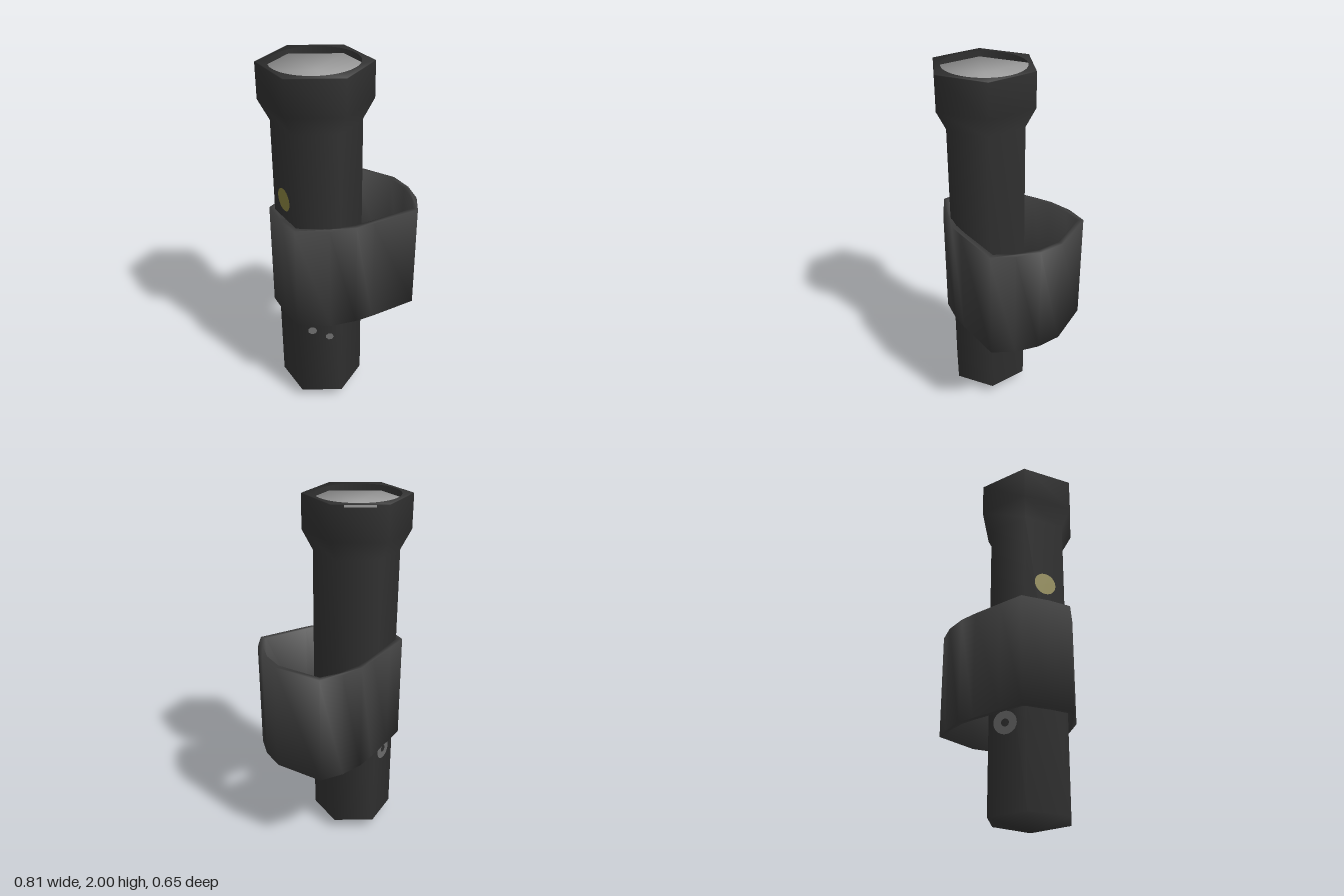
import * as THREE from 'three';
import { toCreasedNormals } from 'three/addons/utils/BufferGeometryUtils.js';

const material = (name, color, side = THREE.FrontSide) => {
  const m = new THREE.MeshStandardMaterial({ color, side });
  m.name = name;
  return m;
};

const hexPoints = (r) => Array.from({ length: 6 }, (_, i) =>
  new THREE.Vector2(r * Math.sin(i * Math.PI / 3), r * Math.cos(i * Math.PI / 3)));

// Leans the normals of a flat disc outwards so it shades as gently domed
function domeNormals(geometry, lean) {
  const pos = geometry.attributes.position, n = new THREE.Vector3();
  for (let i = 0; i < pos.count; i++) {
    n.set(pos.getX(i) * lean, pos.getY(i) * lean, 1).normalize();
    geometry.attributes.normal.setXYZ(i, n.x, n.y, n.z);
  }
  return geometry;
}

// Moves a closed counter-clockwise outline inwards by d with mitred corners
function inset(points, d) {
  const n = points.length;
  return points.map((p, i) => {
    const a = p.clone().sub(points[(i + n - 1) % n]).normalize();
    const b = points[(i + 1) % n].clone().sub(p).normalize();
    const na = new THREE.Vector2(-a.y, a.x), nb = new THREE.Vector2(-b.y, b.x);
    const miter = na.clone().add(nb).normalize();
    return p.clone().addScaledVector(miter, d / miter.dot(na));
  });
}

export function createModel() {
  const bodyMat = material('darkCasing', 0x323232);
  const strapMat = material('holsterGrey', 0x3e3e3e, THREE.DoubleSide);
  const lensMat = material('lensGrey', 0xa0a0a0);
  const buttonMat = material('olive', 0x8a8240);
  const markMat = material('wornGrey', 0x747474);
  const ringMat = material('ringGrey', 0x6a6a6a);

  const model = new THREE.Group();
  const torch = new THREE.Group();
  torch.name = 'torch';
  torch.position.set(-0.145, 0, 0.031);
  torch.rotation.z = 0.005;
  model.add(torch);

  const add = (parent, name, geometry, mat) => {
    const mesh = new THREE.Mesh(geometry, mat);
    mesh.name = name;
    parent.add(mesh);
    return mesh;
  };
  const lathe = (profile) =>
    new THREE.LatheGeometry(profile.map(([r, y]) => new THREE.Vector2(r, y)), 6);

  // Six-sided casing with pointed foot and flared head
  add(torch, 'casing', lathe([[0, 0], [0.233, 0.056], [0.233, 1.7], [0.291, 1.81],
    [0.291, 1.997], [0.288, 2]]), bodyMat);

  // Flat rim with a round opening
  const rimShape = new THREE.Shape(hexPoints(0.288).reverse());
  const opening = new THREE.Path();
  opening.absellipse(0, 0.005, 0.229, 0.22, 0, Math.PI * 2);
  rimShape.holes.push(opening);
  const rim = add(torch, 'headRim', domeNormals(new THREE.ShapeGeometry(rimShape, 32), 3), bodyMat);
  rim.rotation.x = -Math.PI / 2;
  rim.position.y = 2;

  // Recess wall and lens set just below the rim
  add(torch, 'recessWall', lathe([[0.287, 1.999], [0.287, 1.955]]), bodyMat);
  const lens = add(torch, 'lens', domeNormals(new THREE.CircleGeometry(0.287, 6, Math.PI / 2), 3), lensMat);
  lens.rotation.x = -Math.PI / 2;
  lens.position.y = 1.955;

  // Flat details laid on a side; angle is the side's heading from +z
  const onSide = (name, geometry, mat, angle, across, y, out = 0.2045) => {
    const holder = new THREE.Group();
    holder.name = name + 'Mount';
    holder.rotation.y = angle;
    torch.add(holder);
    const mesh = add(holder, name, geometry, mat);
    mesh.position.set(across, y, out);
    return mesh;
  };
  onSide('button', new THREE.CircleGeometry(0.063, 24), buttonMat, -Math.PI / 2, 0, 1.3);
  const ring = onSide('ringMark', new THREE.RingGeometry(0.025, 0.074, 24), ringMat,
    -Math.PI * 5 / 6, -0.012, 0.515);
  ring.scale.y = 0.82;
  ring.rotation.z = -0.4;
  for (const [across, y, r] of [[-0.046, 0.51, 0.026], [0.05, 0.467, 0.023], [0.05, 0.565, 0.02]]) {
    onSide('wornSpot', new THREE.CircleGeometry(r, 7), markMat, -Math.PI / 6, across, y);
  }
  // Worn strip under the head's back edge
  onSide('rimMark', new THREE.PlaneGeometry(0.16, 0.012), lensMat, Math.PI * 5 / 6, 0, 1.99, 0.2535);

  // Holster: a closed upright band, outline given as x, z
  const outline = [
    [-0.08, 0.307], [0.02, 0.315], [0.297, 0.32], [0.37, 0.21], [0.408, 0.08], [0.408, -0.06],
    [0.283, -0.312], [0.15, -0.325], [0.02, -0.303], [-0.08, -0.262], [-0.24, -0.185],
    [-0.37, -0.12], [-0.382, 0.04], [-0.375, 0.17], [-0.22, 0.272],
  ].map(([x, z]) => new THREE.Vector2(x, -z));
  const bandShape = new THREE.Shape(outline);
  bandShape.holes.push(new THREE.Path(inset(outline, 0.028)));
  // Every edge is smoothed, the top and bottom ones too
  const bandGeometry = toCreasedNormals(
    new THREE.ExtrudeGeometry(bandShape, { depth: 0.61, bevelEnabled: false }), Math.PI);
  const band = add(model, 'holsterBand', bandGeometry, strapMat);
  band.rotation.x = -Math.PI / 2;
  band.position.y = 0.575;

  return model;
}
